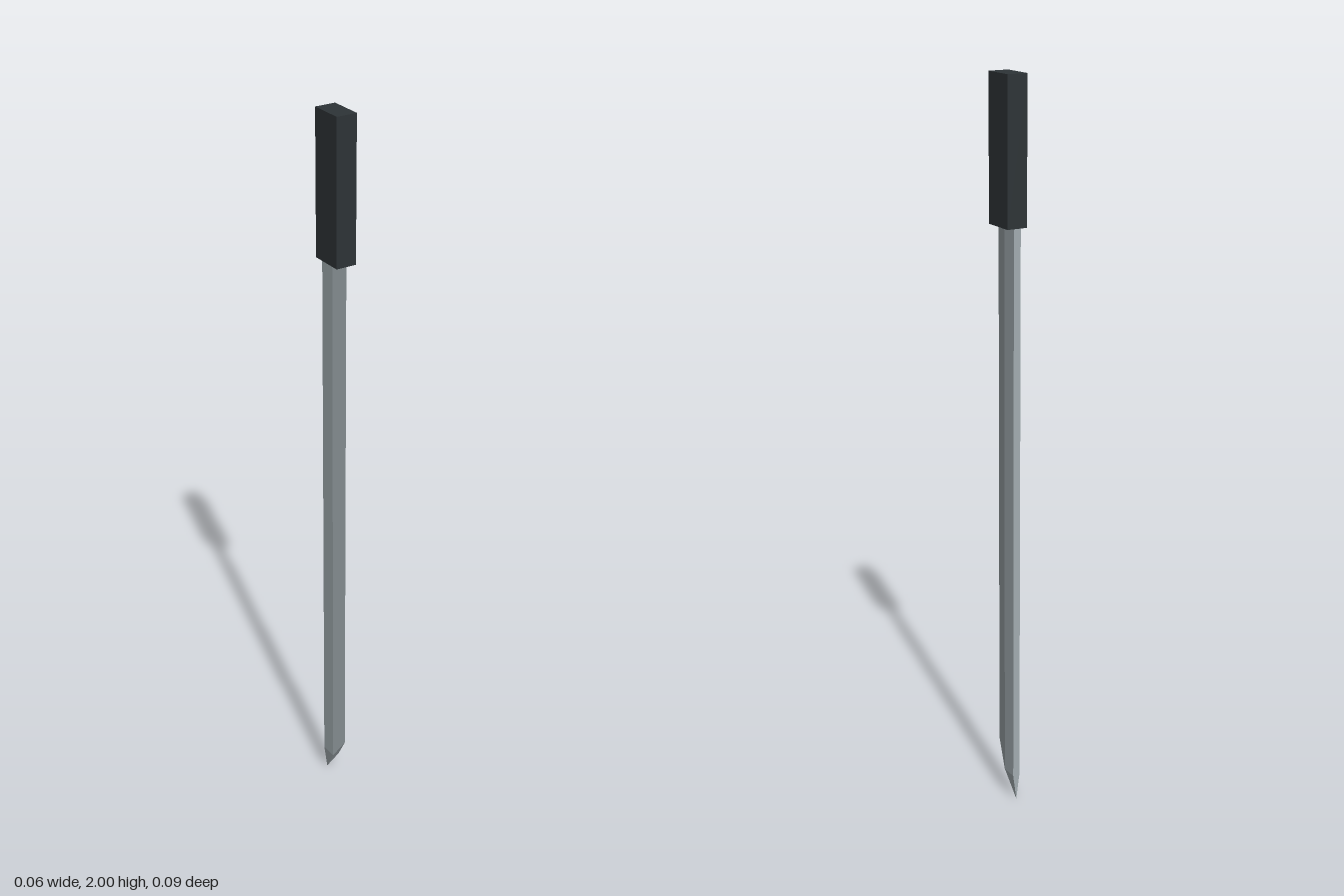
import * as THREE from 'three';
import { ConvexGeometry } from 'three/addons/geometries/ConvexGeometry.js';

const HALF_DEPTH = 0.047; // shared by blade and handle along z
const HALF_THICK = 0.01;  // blade
const HANDLE_Y = 1.62;

export function createModel() {
  const group = new THREE.Group();
  const add = (name, geometry, color) => {
    const mesh = new THREE.Mesh(geometry, new THREE.MeshStandardMaterial({ color, flatShading: true }));
    mesh.name = name;
    group.add(mesh);
    return mesh;
  };

  // Handle: plain block on top
  const height = 2 - HANDLE_Y;
  add('handle', new THREE.BoxGeometry(0.056, height, HALF_DEPTH * 2), 0x2e3437)
    .position.y = HANDLE_Y + height / 2;

  // Blade: flat spine at the back, bevelled edge at the front, slanted pointed tip
  const v = (x, y, z) => new THREE.Vector3(x, y, z);
  const points = [
    v(0, HANDLE_Y, HALF_DEPTH),
    v(0, 0.15, HALF_DEPTH),
    v(0, 0, -HALF_DEPTH),
  ];
  for (const x of [-HALF_THICK, HALF_THICK]) {
    for (const y of [0.075, HANDLE_Y]) {
      points.push(v(x, y, 0), v(x, y, -HALF_DEPTH));
    }
  }
  add('blade', new ConvexGeometry(points), 0xa3adb1);

  return group;
}
